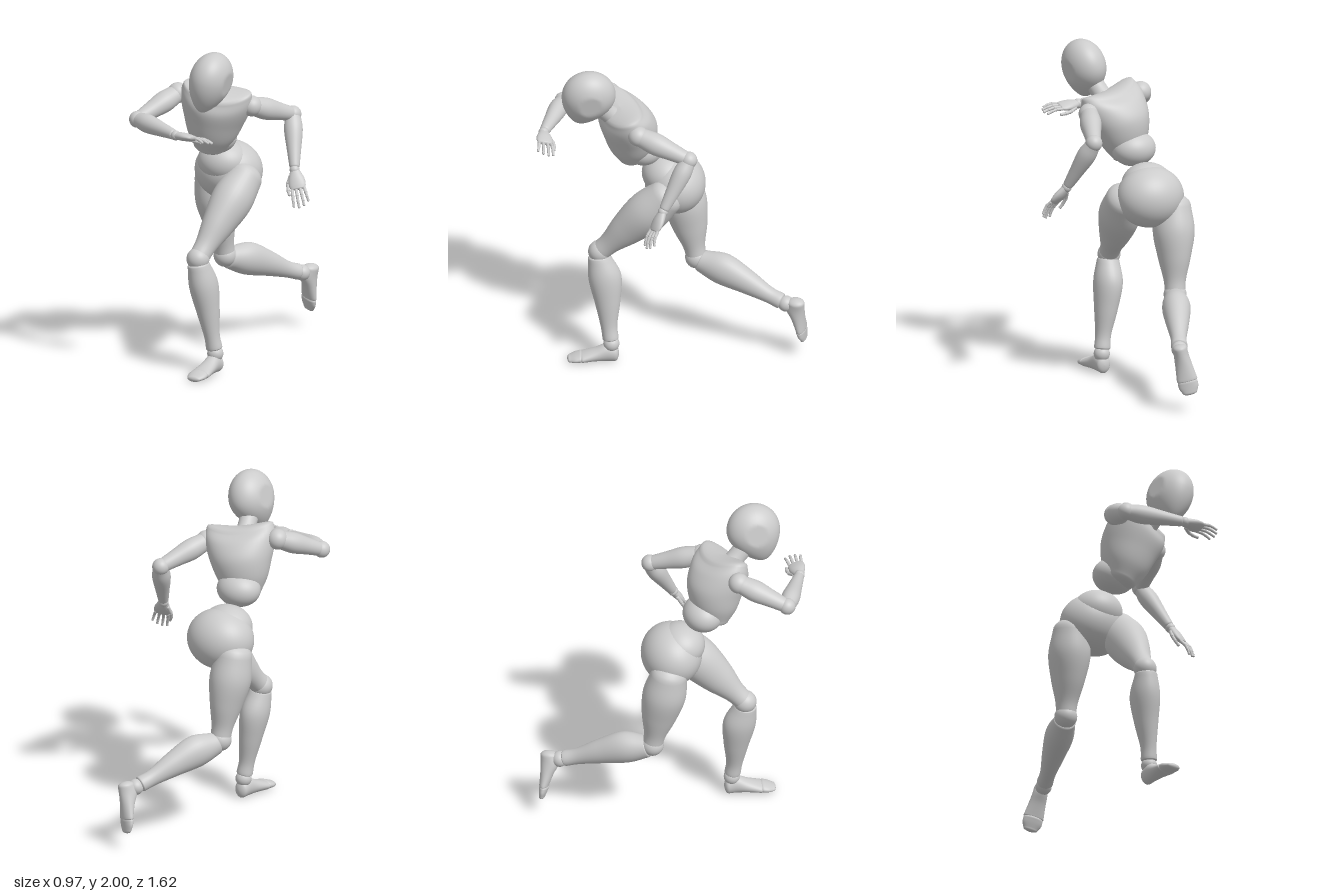
import * as THREE from 'three';

const V = (x, y, z) => new THREE.Vector3(x, y, z);
const material = new THREE.MeshStandardMaterial({ color: 0xcccccc });

// Smooth body from elliptical stations [t, halfWidth, halfDepth, depthOffset]
// along a -> b, with a rounded cap at both ends.
function loft(name, a, b, front, stations, { sides = 32, steps = 6, cap = 0.6, rule } = {}) {
  const length = a.distanceTo(b);
  const Y = b.clone().sub(a).normalize();
  const Z = front.clone().addScaledVector(Y, -front.dot(Y)).normalize();
  const X = Y.clone().cross(Z);
  const size = new THREE.CatmullRomCurve3(stations.map(s => V(s[0], s[1], s[2])), false, 'catmullrom');
  const shift = new THREE.CatmullRomCurve3(stations.map(s => V(s[3] || 0, 0, 0)), false, 'catmullrom');
  const rings = [];
  const count = steps * (stations.length - 1);
  for (let i = 0; i <= count; i++) {
    const p = size.getPoint(i / count);
    rings.push([p.x * length, p.y, p.z, shift.getPoint(i / count).x]);
  }
  const capRings = (r, dir) => [1, 2, 3, 4, 5, 6].map(k => {
    const q = k / 6 * Math.PI / 2, c = Math.max(Math.cos(q), 0.002);
    return [r[0] + dir * Math.sin(q) * cap * Math.min(r[1], r[2]), r[1] * c, r[2] * c, r[3]];
  });
  const all = [...capRings(rings[0], -1).reverse(), ...rings, ...capRings(rings[count], 1)];
  const pos = [], index = [];
  all.forEach(([y, w, d, off], i) => {
    for (let j = 0; j < sides; j++) {
      const q = j / sides * Math.PI * 2;
      const p = V(w * Math.sin(q), y, off + d * Math.cos(q));
      if (rule) rule(p, y / length);
      pos.push(p.x, p.y, p.z);
      if (i === all.length - 1) continue;
      const A = i * sides + j, B = i * sides + (j + 1) % sides;
      index.push(A, B, A + sides, B, B + sides, A + sides);
    }
  });
  const geo = new THREE.BufferGeometry();
  geo.setAttribute('position', new THREE.Float32BufferAttribute(pos, 3));
  geo.setIndex(index);
  geo.computeVertexNormals();
  const mesh = new THREE.Mesh(geo, material);
  mesh.name = name;
  mesh.quaternion.setFromRotationMatrix(new THREE.Matrix4().makeBasis(X, Y, Z));
  mesh.position.copy(a);
  return mesh;
}

function ball(name, c, rx, ry = rx, rz = rx) {
  const mesh = new THREE.Mesh(new THREE.SphereGeometry(1, 40, 28), material);
  mesh.name = name;
  mesh.position.copy(c);
  mesh.scale.set(rx, ry, rz);
  return mesh;
}

// Egg-shaped head: tapers to the chin, with flattened temples
function makeHead() {
  const geo = new THREE.SphereGeometry(1, 56, 40);
  const p = geo.attributes.position;
  for (let i = 0; i < p.count; i++) {
    const x = p.getX(i), y = p.getY(i), z = p.getZ(i);
    const low = Math.max(0, -y), k = 1 - 0.3 * low * low;
    const side = THREE.MathUtils.clamp(x * 0.122 * k, -0.11, 0.11);
    p.setXYZ(i, side, y * (y < 0 ? 0.2 : 0.163), z * 0.16 * k + 0.045 * low * low);
  }
  geo.computeVertexNormals();
  const head = new THREE.Mesh(geo, material);
  head.name = 'head';
  head.position.set(0, 1.84, 0.48);
  head.rotation.z = -0.2;
  return head;
}

// Palm, four three-jointed fingers and a thumb; side points to the thumb
function makeHand(name, wrist, forward, side) {
  const hand = new THREE.Group();
  hand.name = name;
  const F = forward.clone().normalize();
  const S = side.clone().addScaledVector(F, -side.dot(F)).normalize();
  const U = F.clone().cross(S);
  if (U.y < 0) U.negate();
  const at = (f, s, u) => wrist.clone().addScaledVector(F, f).addScaledVector(S, s).addScaledVector(U, u);
  hand.add(ball('wristJoint', wrist, 0.03));
  hand.add(loft('palm', at(0.01, 0, 0), at(0.12, 0, 0), U,
    [[0, 0.03, 0.024], [0.45, 0.047, 0.025], [0.8, 0.05, 0.02], [1, 0.044, 0.015]], { sides: 24, steps: 4 }));
  const chain = (label, points, r) => {
    for (let k = 0; k < points.length - 1; k++) {
      const q = r * (1 - 0.1 * k);
      hand.add(loft(label, points[k], points[k + 1], U,
        [[0.08, q, q], [0.5, q * 0.88, q * 0.88], [0.92, q * 0.95, q * 0.95]], { sides: 10, steps: 2 }));
    }
  };
  [[0.036, 0.104], [0.012, 0.116], [-0.013, 0.108], [-0.037, 0.085]].forEach(([s, len]) => {
    const knuckle = (k, drop) => at(0.122 + len * k, s * (1 + 0.25 * k), drop);
    chain('finger', [knuckle(0, 0), knuckle(0.42, 0.004), knuckle(0.73, -0.003), knuckle(1, -0.014)], 0.0105);
  });
  chain('thumb', [at(0.03, 0.03, -0.008), at(0.075, 0.056, -0.016), at(0.115, 0.062, -0.02),
    at(0.145, 0.058, -0.024)], 0.0125);
  return hand;
}

function makeArm(label, shoulder, elbow, wrist, handDir, thumbDir) {
  const arm = new THREE.Group();
  arm.name = label + 'Arm';
  const bend = shoulder.clone().add(wrist).multiplyScalar(0.5).sub(elbow);
  arm.add(
    ball('shoulderJoint', shoulder, 0.062),
    loft('upperArm', shoulder, elbow, bend,
      [[0.08, 0.055, 0.058], [0.35, 0.063, 0.066], [0.65, 0.052, 0.054], [0.92, 0.043, 0.043]]),
    ball('elbowJoint', elbow, 0.05),
    loft('forearm', elbow, wrist, bend,
      [[0.04, 0.045, 0.046], [0.28, 0.056, 0.055], [0.65, 0.042, 0.042], [0.93, 0.031, 0.031]]),
    makeHand('hand', wrist, handDir, thumbDir));
  return arm;
}

function makeLeg(label, hip, knee, ankle, thighFront, shinFront, footDir, footUp) {
  const leg = new THREE.Group();
  leg.name = label + 'Leg';
  const F = footDir.clone().normalize();
  const U = footUp.clone().addScaledVector(F, -footUp.dot(F)).normalize();
  const at = (f, u) => ankle.clone().addScaledVector(F, f).addScaledVector(U, u - 0.115);
  leg.add(
    loft('thigh', hip, knee, thighFront, [[0, 0.105, 0.11], [0.28, 0.122, 0.13], [0.58, 0.094, 0.106],
      [0.83, 0.066, 0.068], [0.98, 0.06, 0.06]], { cap: 0.75 }),
    ball('kneeJoint', knee, 0.068),
    loft('shin', knee, ankle, shinFront, [[0.06, 0.066, 0.068, 0.005], [0.28, 0.084, 0.098, -0.012],
      [0.55, 0.068, 0.076, -0.01], [0.8, 0.047, 0.05], [0.94, 0.049, 0.048]], { cap: 0.3 }),
    ball('ankleJoint', ankle, 0.048),
    // The foot rests on its sole line, so depth offset matches half height
    loft('foot', at(-0.02, 0), at(0.17, 0), U, [[0, 0.042, 0.052, 0.052], [0.25, 0.045, 0.057, 0.059],
      [0.6, 0.052, 0.041, 0.044], [1, 0.062, 0.029, 0.029]], { cap: 0.6 }),
    loft('toes', at(0.185, 0), at(0.245, 0), U,
      [[0, 0.06, 0.029, 0.029], [0.5, 0.058, 0.024, 0.024], [1, 0.044, 0.018, 0.018]], { cap: 0.9 }));
  return leg;
}

export function createModel() {
  const model = new THREE.Group();
  model.name = 'runningMannequin';

  // Head and neck
  model.add(makeHead());
  model.add(loft('neck', V(-0.06, 1.64, 0.31), V(-0.03, 1.75, 0.42), V(0, -0.5, 1),
    [[0, 0.065, 0.065], [0.5, 0.054, 0.056], [1, 0.055, 0.058]]));

  // Rib cage with raised shoulders, and the rounded waist beneath it
  model.add(loft('chest', V(-0.14, 1.35, 0.2), V(-0.06, 1.68, 0.28), V(0.27, -0.17, 0.95),
    [[0, 0.1, 0.092], [0.25, 0.15, 0.138, -0.015], [0.55, 0.185, 0.16, -0.025],
      [0.82, 0.214, 0.15, -0.012], [1, 0.205, 0.112, 0]],
    { sides: 48, cap: 0.42, rule: (p, t) => {
      p.y += 0.05 * (p.x / 0.2) ** 2 * THREE.MathUtils.smoothstep(t, 0.55, 1);
    } }));
  model.add(ball('waist', V(-0.14, 1.39, 0.14), 0.135, 0.105, 0.12));

  // Abdomen set into the pelvis
  model.add(ball('abdomen', V(-0.15, 1.2, 0), 0.155, 0.13, 0.145));
  model.add(ball('pelvis', V(-0.14, 1.135, -0.052), 0.207, 0.182, 0.18));

  // Arms
  model.add(makeArm('left', V(0.13, 1.62, 0.2), V(0.265, 1.515, -0.085), V(0.355, 1.225, 0.08),
    V(0.4, -0.76, 0.45), V(-0.9, -0.1, 0.35)));
  model.add(makeArm('right', V(-0.295, 1.68, 0.32), V(-0.435, 1.565, 0.58), V(-0.11, 1.545, 0.735),
    V(1, -0.03, 0.04), V(0, -0.25, -1)));

  // Legs: left planted in front, right trailing behind
  model.add(makeLeg('left', V(0, 1.12, 0.02), V(-0.125, 0.7, 0.4), V(-0.04, 0.115, 0.34),
    V(0, 0.5, 1), V(0, 0, 1), V(-0.1, 0, 1), V(0, 1, 0)));
  model.add(makeLeg('right', V(-0.27, 1.07, -0.1), V(-0.23, 0.56, -0.19), V(0.035, 0.36, -0.69),
    V(0, 0, 1), V(0, -1, 0), V(-0.2, -0.97, -0.08), V(-0.42, 0, 0.9)));

  return model;
}
